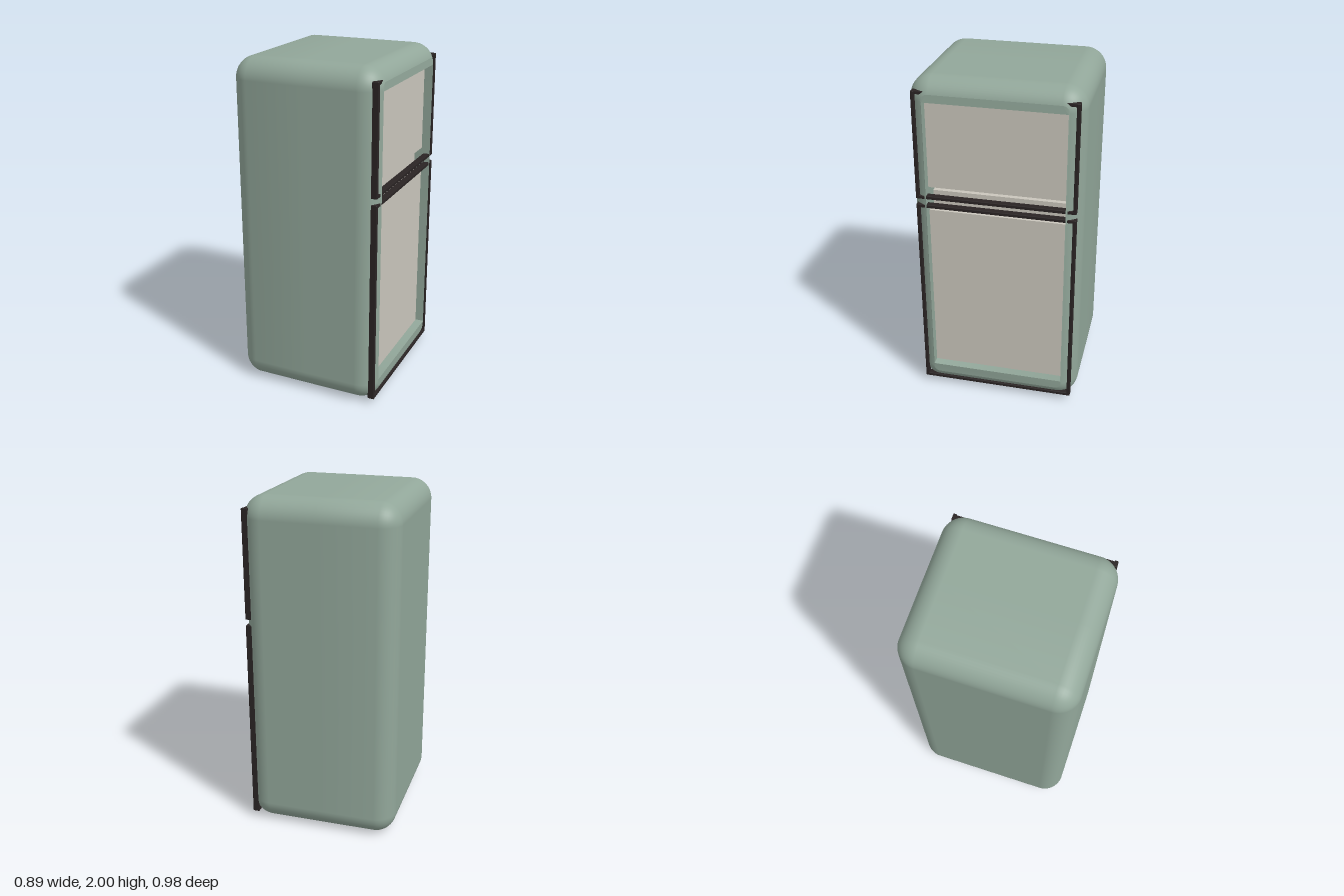
import * as THREE from 'three';
import { toCreasedNormals } from 'three/addons/utils/BufferGeometryUtils.js';
import { RoundedBoxGeometry } from 'three/addons/geometries/RoundedBoxGeometry.js';

const SEG = 10; // steps per rounded corner
const R = 0.125; // cabinet edge radius
const HX = 0.447, HY = 1, HZ = 0.49;

// Rounded rectangle in the zy plane at depth x; nx and nr tilt the normals
function loop(x, hz, hy, r, cy = 1, nx = 0, nr = 1) {
  const points = [];
  for (let k = 0; k < 4; k++) {
    const sz = k === 0 || k === 3 ? 1 : -1, sy = k < 2 ? 1 : -1;
    for (let i = 0; i <= SEG; i++) {
      const a = (k + i / SEG) * Math.PI / 2;
      points.push({
        p: [x, cy + sy * (hy - r) + r * Math.sin(a), sz * (hz - r) + r * Math.cos(a)],
        n: [nx, nr * Math.sin(a), nr * Math.cos(a)],
      });
    }
  }
  return points;
}

// Skin between successive loops
function loft(loops) {
  const pos = [], nor = [], idx = [], n = loops[0].length;
  for (const l of loops) for (const v of l) { pos.push(...v.p); nor.push(...v.n); }
  for (let i = 0; i < loops.length - 1; i++) {
    for (let j = 0; j < n; j++) {
      const k = (j + 1) % n;
      const a = i * n + j, b = i * n + k, c = a + n, d = b + n;
      idx.push(a, c, d, a, d, b);
    }
  }
  const g = new THREE.BufferGeometry();
  g.setAttribute('position', new THREE.Float32BufferAttribute(pos, 3));
  g.setAttribute('normal', new THREE.Float32BufferAttribute(nor, 3));
  g.setIndex(idx);
  return g;
}

export function createModel() {
  const group = new THREE.Group();
  const material = (name, color) => {
    const m = new THREE.MeshStandardMaterial({ color });
    m.name = name;
    return m;
  };
  const green = material('sage green enamel', 0x92a79a);
  const cream = material('cream liner', 0xcac6bc);
  const black = material('black rubber', 0x2a2424);

  const add = (name, geometry, mat, parent = group) => {
    const mesh = new THREE.Mesh(geometry, mat);
    mesh.name = name;
    parent.add(mesh);
    return mesh;
  };
  // Box given by its limits on each axis
  const box = (name, mat, x0, x1, y0, y1, z0, z1, parent, radius = 0) => {
    const s = [x1 - x0, y1 - y0, z1 - z0];
    const g = radius ? new RoundedBoxGeometry(...s, 2, radius) : new THREE.BoxGeometry(...s);
    add(name, g, mat, parent).position.set((x0 + x1) / 2, (y0 + y1) / 2, (z0 + z1) / 2);
  };

  // Cabinet: rounded shell, closed at the back and open on the door side
  const shell = [loop(-HX, 0.001, 0.001, 0.001, 1, -1, 0)];
  const ring = (t) => {
    const s = Math.sin(t), c = Math.cos(t), r = Math.max(R * c, 0.001);
    return loop(Math.sign(t) * (HX - R) + R * s, HZ - R + r, HY - R + r, r, 1, s, c);
  };
  const end = Math.acos(0.32);
  for (let i = 0; i <= 12; i++) shell.push(ring(-Math.PI / 2 * (1 - i / 12)));
  for (let i = 0; i <= 12; i++) shell.push(ring(Math.max(end * i / 12, 1e-6)));
  add('cabinetShell', loft(shell), green);

  // Front rim and the cavity behind it
  const opening = (x, r = 0.001) => loop(x, 0.4, 0.865, r, 1.005);
  const rim = loft([ring(end), opening(0.443)]);
  add('doorRim', toCreasedNormals(rim, 0.5), green);
  const cavity = loft([opening(0.443), opening(-0.35), loop(-0.35, 0.001, 0.001, 0.001, 1.005)]);
  add('cavity', toCreasedNormals(cavity, 0.5), green);

  // Inner panels, divider and storage bins
  box('freezerPanel', cream, 0.37, 0.39, 1.345, 1.87, -0.4, 0.4);
  box('fridgePanel', cream, 0.37, 0.39, 0.14, 1.2, -0.4, 0.4);
  box('divider', cream, -0.34, 0.35, 1.19, 1.31, -0.385, 0.385);
  box('freezerBin', cream, -0.2, 0.2, 1.315, 1.45, 0.07, 0.33);
  box('freezerTray', green, -0.2, 0.2, 1.32, 1.45, -0.31, -0.06);

  // Rubber seal frames around the two compartments
  const seal = (name, y0, y1, topFront) => {
    const frame = new THREE.Group();
    frame.name = name;
    group.add(frame);
    for (const s of [-1, 1]) {
      box('sealSide', black, 0.4, 0.439, y0, y1, s * 0.45 - 0.01, s * 0.45 + 0.01, frame, 0.004);
    }
    box('sealBottom', black, 0.4, 0.439, y0, y0 + 0.02, -0.46, 0.46, frame, 0.004);
    box('sealTop', black, 0.4, topFront, y1 - 0.02, y1, -0.46, 0.46, frame, 0.004);
  };
  seal('freezerSeal', 1.29, 1.93, 0.433);
  seal('fridgeSeal', 0.035, 1.255, 0.439);

  return group;
}
